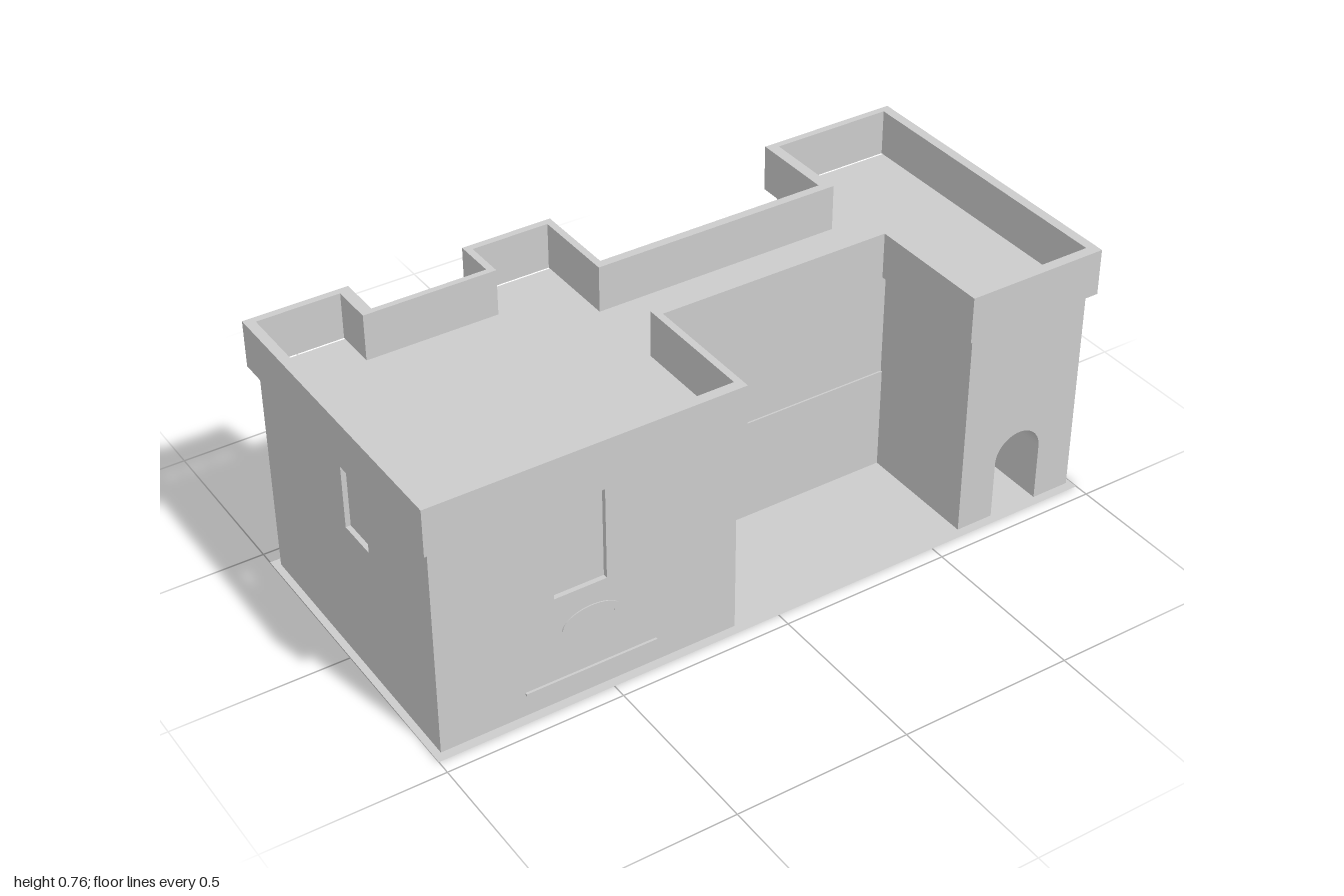
import * as THREE from 'three';

const material = new THREE.MeshStandardMaterial({ color: 0xcccccc, flatShading: true, side: THREE.DoubleSide });

// Plan points are [x, z]; the shape is extruded upwards.
const plan = (points) => points.map(([x, z]) => new THREE.Vector2(x, -z));

function slab(shape, y0, y1) {
  const g = new THREE.ExtrudeGeometry(shape, { depth: y1 - y0, bevelEnabled: false });
  return g.rotateX(-Math.PI / 2).translate(0, y0, 0);
}

// H-shaped outline, with a second notch at the back of the wide wing.
function outline(f) {
  return {
    front: [[f.left, f.front], [f.wing, f.front]],
    rest: [
      [f.wing, f.court], [f.tower, f.court], [f.tower, f.front], [f.right, f.front],
      [f.right, f.back], [f.tower, f.back], [f.tower, f.yard], [f.wing, f.yard],
      [f.wing, f.back], [f.pier, f.back], [f.pier, f.notch], [f.notchLeft, f.notch],
      [f.notchLeft, f.back], [f.left, f.back],
    ],
  };
}

const WALL = {
  left: -0.98, right: 0.985, front: 0.432, back: -0.435, wing: -0.12, tower: 0.607,
  court: 0.065, yard: -0.19, pier: -0.36, notch: -0.32, notchLeft: -0.725,
};
const OUTER = {
  left: -1, right: 1, front: 0.458, back: -0.46, wing: -0.11, tower: 0.58,
  court: 0.085, yard: -0.21, pier: -0.375, notch: -0.335, notchLeft: -0.705,
};
const INNER = {
  left: -0.972, right: 0.972, front: 0.428, back: -0.44, wing: -0.13, tower: 0.612,
  court: 0.058, yard: -0.185, pier: -0.355, notch: -0.318, notchLeft: -0.738,
};

const DOOR = { x0: 0.72, x1: 0.87, back: 0.2 };

// Wall plan for one storey band, with optional door slot and window recesses.
function wallPlan({ door, frontWindow, sideWindow }) {
  const { front, rest } = outline(WALL);
  const pts = [front[0]];
  const d = 0.014;
  if (frontWindow) {
    const z = WALL.front;
    pts.push([-0.65, z], [-0.65, z - d], [-0.5, z - d], [-0.5, z]);
  }
  pts.push(front[1], ...rest.slice(0, 3));
  if (door) {
    const z = WALL.front;
    pts.push([DOOR.x0, z], [DOOR.x0, DOOR.back], [DOOR.x1, DOOR.back], [DOOR.x1, z]);
  }
  pts.push(...rest.slice(3));
  if (sideWindow) {
    const x = WALL.left;
    pts.push([x, 0], [x + d, 0], [x + d, 0.12], [x, 0.12]);
  }
  return new THREE.Shape(plan(pts));
}

export function createModel() {
  const model = new THREE.Group();
  const add = (name, geometry, parent = model) => {
    const mesh = new THREE.Mesh(geometry, material);
    mesh.name = name;
    parent.add(mesh);
    return mesh;
  };
  const box = (name, x0, x1, y0, y1, z0, z1, parent) =>
    add(name, new THREE.BoxGeometry(x1 - x0, y1 - y0, z1 - z0)
      .translate((x0 + x1) / 2, (y0 + y1) / 2, (z0 + z1) / 2), parent);

  // Thin ground sheet
  add('ground', new THREE.PlaneGeometry(2, 0.918).rotateX(-Math.PI / 2).translate(0, 0, -0.001));

  // Walls in stacked bands; the top band also forms the roof
  const walls = new THREE.Group();
  walls.name = 'walls';
  model.add(walls);
  const bands = [
    [0.001, 0.33, { door: true }],
    [0.33, 0.41, { frontWindow: true }],
    [0.41, 0.6, { frontWindow: true, sideWindow: true }],
    [0.6, 0.63, { sideWindow: true }],
  ];
  for (const [y0, y1, openings] of bands) add('wallBand', slab(wallPlan(openings), y0, y1), walls);

  // Vaulted masonry above the doorway
  const r = (DOOR.x1 - DOOR.x0) / 2;
  const spring = 0.25 - r;
  const lintel = new THREE.Shape();
  lintel.moveTo(DOOR.x0, spring);
  lintel.absarc(DOOR.x0 + r, spring, r, Math.PI, 0, true);
  lintel.lineTo(DOOR.x1, 0.33);
  lintel.lineTo(DOOR.x0, 0.33);
  add('doorArch', new THREE.ExtrudeGeometry(lintel, {
    depth: WALL.front - DOOR.back, bevelEnabled: false, curveSegments: 16,
  }).translate(0, 0, DOOR.back));

  // Overhanging parapet ring
  const ring = (f) => { const o = outline(f); return plan([...o.front, ...o.rest]); };
  const parapet = new THREE.Shape(ring(OUTER));
  parapet.holes.push(new THREE.Path(ring(INNER)));
  add('parapet', slab(parapet, 0.63, 0.765));

  // Slightly thicker lower walls in the courts and notch
  const t = 0.005;
  box('frontCourtPlinth', WALL.wing, WALL.tower, 0.001, 0.31, WALL.court, WALL.court + t);
  box('notchPlinth', WALL.notchLeft, WALL.pier, 0.001, 0.3, WALL.notch - t, WALL.notch);
  box('pierPlinth', WALL.wing, WALL.wing + t, 0.001, 0.31, WALL.back, WALL.yard);

  // Sill and small relief arch on the wide front wall
  box('sill', -0.74, -0.36, 0.069, 0.075, WALL.front, WALL.front + 0.007);
  const arch = new THREE.Shape();
  arch.absellipse(-0.545, 0.22, 0.085, 0.047, 0, Math.PI, false);
  arch.absellipse(-0.545, 0.22, 0.065, 0.03, Math.PI, 0, true);
  add('reliefArch', new THREE.ExtrudeGeometry(arch, { depth: 0.003, bevelEnabled: false, curveSegments: 12 })
    .translate(0, 0, WALL.front));

  return model;
}
